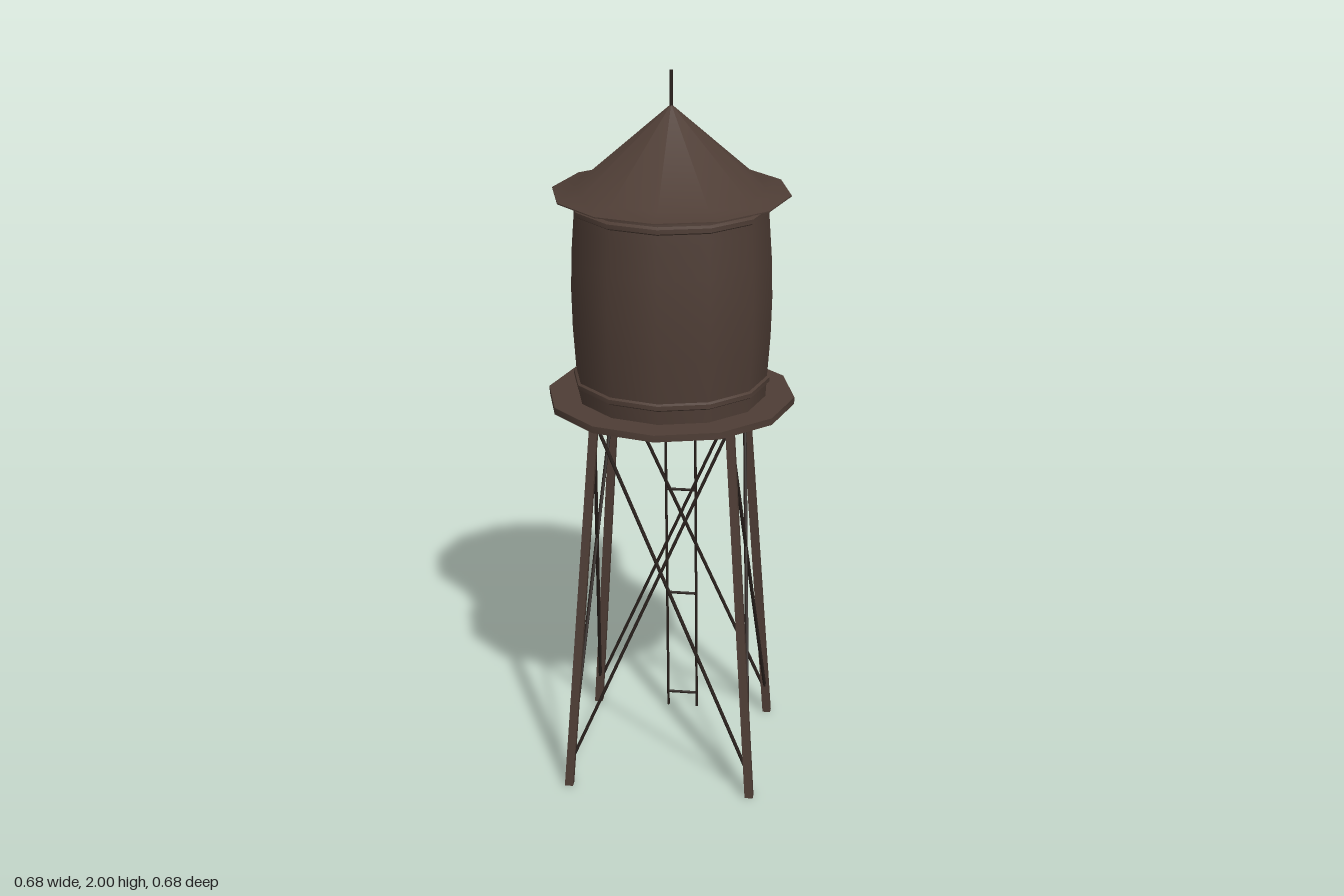
import * as THREE from 'three';
import { toCreasedNormals } from 'three/addons/utils/BufferGeometryUtils.js';

const SIDES = 12;
const LEG_TOP = 1.09, FOOT = 0.256, HIP = 0.183;

// distance of a leg's centre line from the axes at height y
const legAt = (y) => FOOT + (HIP - FOOT) * (y / LEG_TOP);

export function createModel() {
  const model = new THREE.Group();
  model.name = 'waterTower';
  const wood = new THREE.MeshStandardMaterial({ name: 'weathered brown', color: 0x4e3d35 });
  const steel = new THREE.MeshStandardMaterial({ name: 'dark steel', color: 0x2a211d });

  const add = (name, geometry, material, parent = model) => {
    const mesh = new THREE.Mesh(geometry, material);
    mesh.name = name;
    parent.add(mesh);
    return mesh;
  };
  const lathe = (name, profile) => {
    const points = profile.map(([r, y]) => new THREE.Vector2(r, y));
    return add(name, toCreasedNormals(new THREE.LatheGeometry(points, SIDES), 0.7), wood);
  };
  // thin round rod between two points
  const rod = (name, a, b, radius, parent) => {
    const from = new THREE.Vector3(...a), to = new THREE.Vector3(...b);
    const dir = to.clone().sub(from);
    const mesh = add(name, new THREE.CylinderGeometry(radius, radius, dir.length(), 6), steel, parent);
    mesh.position.copy(from).add(to).multiplyScalar(0.5);
    mesh.quaternion.setFromUnitVectors(new THREE.Vector3(0, 1, 0), dir.normalize());
    return mesh;
  };

  // Tank, hoops, roof and platform
  lathe('platform', [[0, 1.087], [0.34, 1.087], [0.34, 1.106], [0, 1.106]]);
  lathe('tank', [[0.26, 1.1], [0.265, 1.18], [0.272, 1.28], [0.275, 1.39],
    [0.272, 1.5], [0.265, 1.6], [0.26, 1.68]]);
  for (const y of [1.155, 1.637]) {
    lathe('hoop', [[0.258, y - 0.014], [0.271, y - 0.006], [0.271, y + 0.006], [0.258, y + 0.014]]);
  }
  lathe('roof', [[0, 1.671], [0.322, 1.671], [0.322, 1.674], [0.255, 1.688], [0, 1.91]]);
  rod('finial', [0, 1.89, 0], [0, 2, 0], 0.005);

  // Splayed square legs: a box sheared outwards towards the foot
  for (const sx of [-1, 1]) {
    for (const sz of [-1, 1]) {
      const leg = new THREE.BoxGeometry(0.023, LEG_TOP, 0.023);
      leg.translate(0, LEG_TOP / 2, 0);
      const p = leg.attributes.position;
      for (let i = 0; i < p.count; i++) {
        const d = legAt(p.getY(i));
        p.setXYZ(i, p.getX(i) + sx * d, p.getY(i), p.getZ(i) + sz * d);
      }
      leg.computeVertexNormals();
      add('leg', leg, wood);
    }
  }

  // Cross braces and a top beam on each of the four sides
  const low = 0.07, high = 1.08;
  const a = legAt(low), b = legAt(high);
  for (let i = 0; i < 4; i++) {
    const side = new THREE.Group();
    side.name = 'bracing';
    side.rotation.y = i * Math.PI / 2;
    model.add(side);
    for (const s of [-1, 1]) rod('crossBrace', [-s * a, low, a], [s * b, high, b], 0.005, side);
    rod('topBeam', [-b, 1.085, b], [b, 1.085, b], 0.005, side);
  }

  // Ladder leaning up the back
  const ladder = new THREE.Group();
  ladder.name = 'ladder';
  model.add(ladder);
  for (const s of [-1, 1]) {
    rod('ladderRail', [s * 0.043, 0, -FOOT], [s * 0.043, LEG_TOP, -HIP], 0.004, ladder);
  }
  for (let i = 0; i < 4; i++) {
    const y = 0.046 + i * 0.341;
    rod('ladderRung', [-0.043, y, -legAt(y)], [0.043, y, -legAt(y)], 0.004, ladder);
  }
  return model;
}
